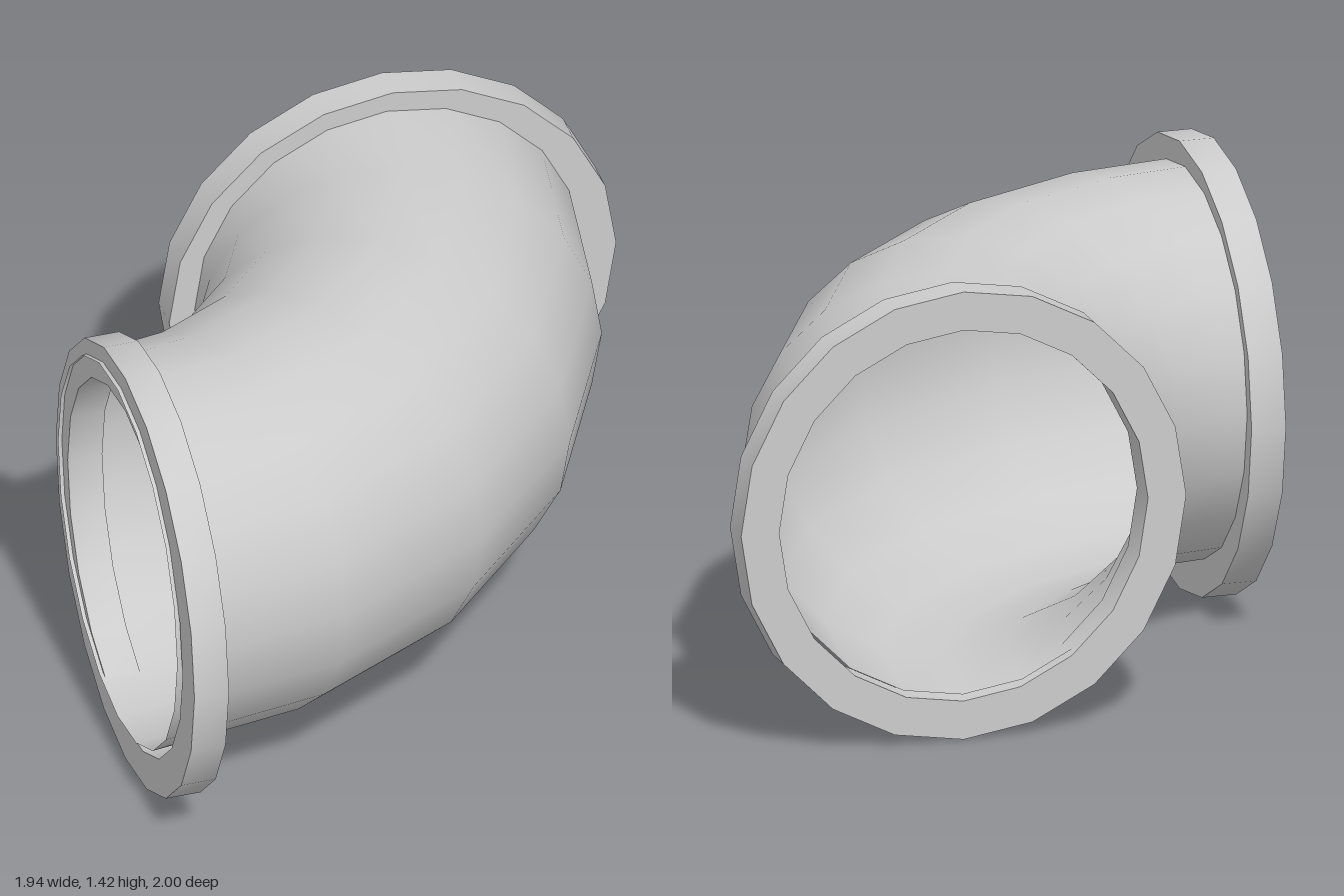
import * as THREE from 'three';
import { toCreasedNormals } from 'three/addons/utils/BufferGeometryUtils.js';

const SIDES = 20;
const material = new THREE.MeshStandardMaterial({ color: 0xcccccc, side: THREE.DoubleSide });

// Regular polygon outline with a vertex on +x
function ringPoints(radius) {
  return Array.from({ length: SIDES }, (_, i) => {
    const a = (i / SIDES) * Math.PI * 2;
    return new THREE.Vector2(Math.cos(a) * radius, Math.sin(a) * radius);
  });
}

// Flat collar, its axis along z and its back at z = 0
function makeFlange(name) {
  const shape = new THREE.Shape(ringPoints(0.712));
  shape.holes.push(new THREE.Path(ringPoints(0.59)));
  const geometry = new THREE.ExtrudeGeometry(shape, { depth: 0.11, bevelEnabled: false });
  const flange = new THREE.Mesh(toCreasedNormals(geometry, 0.6), material);
  flange.name = name;
  return flange;
}

export function createModel() {
  const model = new THREE.Group();
  model.name = 'pipeElbow';

  // Open quarter bend, five segments long
  const bend = new THREE.TorusGeometry(1.225, 0.612, SIDES, 5, Math.PI / 2);
  bend.rotateX(Math.PI / 2);
  const pipe = new THREE.Mesh(bend, material);
  pipe.name = 'bentPipe';
  pipe.position.set(-0.973, 0.747, -0.973);
  model.add(pipe);

  // Collars, sitting slightly lower than the pipe
  const backFlange = makeFlange('backFlange');
  backFlange.position.set(0.258, 0.712, -1);
  model.add(backFlange);

  const sideFlange = makeFlange('sideFlange');
  sideFlange.rotation.y = Math.PI / 2;
  sideFlange.position.set(-0.96, 0.712, 0.288);
  model.add(sideFlange);

  return model;
}
